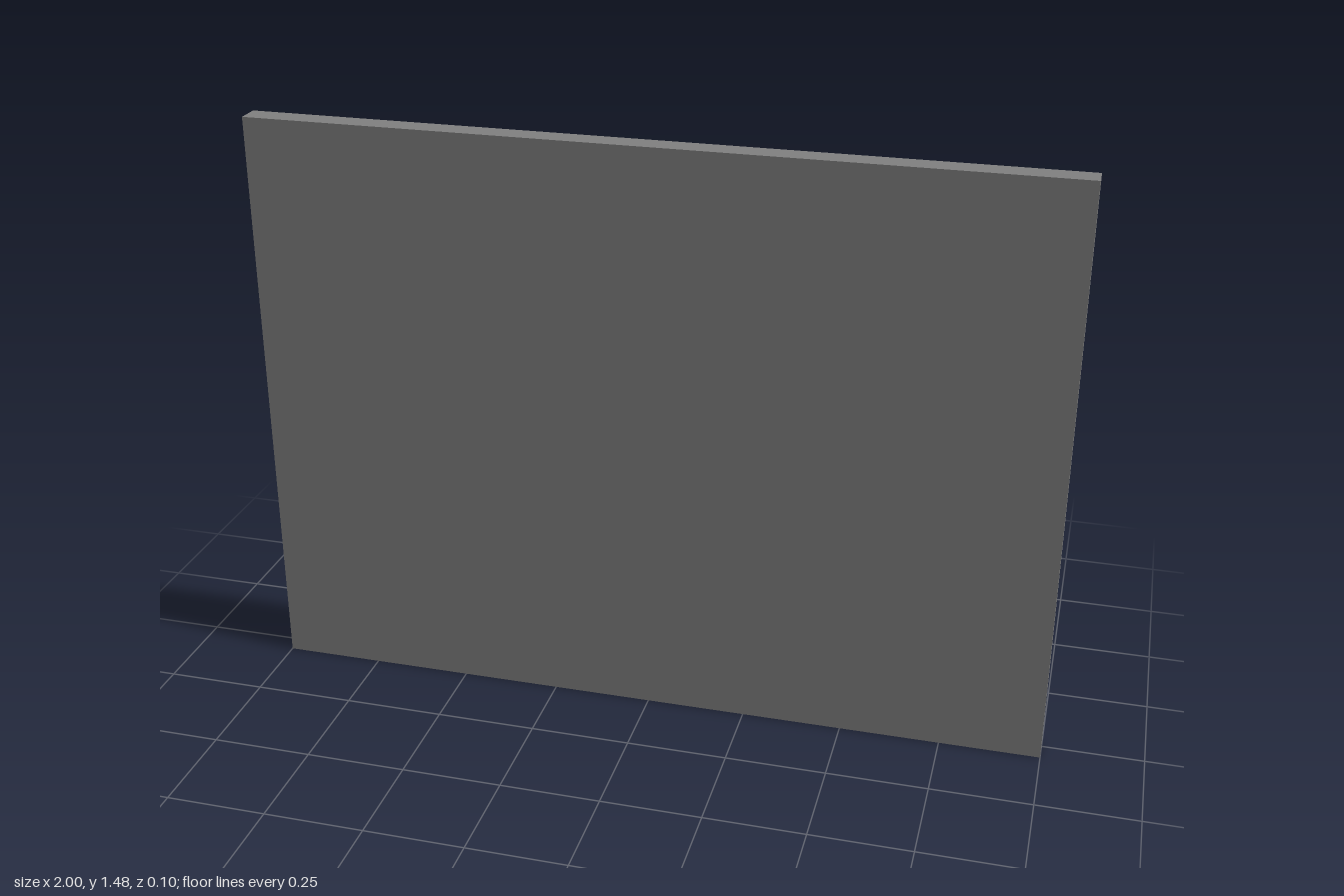
import * as THREE from 'three';

const wallGrey = new THREE.MeshStandardMaterial({ color: 0x808080 });
wallGrey.name = 'wall grey';
const woodBrown = new THREE.MeshStandardMaterial({ color: 0x885528 });
woodBrown.name = 'wood brown';

const WALL_BACK = -0.01;
const DOOR = { x: -0.4525, width: 0.535, height: 1.25, trim: 0.028 };

export function createModel() {
  const model = new THREE.Group();
  model.name = 'wallWithDoor';

  const add = (parent, name, geometry, material) => {
    const mesh = new THREE.Mesh(geometry, material);
    mesh.name = name;
    parent.add(mesh);
    return mesh;
  };

  // Solid wall slab
  add(model, 'wall', new THREE.BoxGeometry(2, 1.475, 0.06), wallGrey)
    .position.set(0, 1.475 / 2, 0.02);

  // Door assembly, built facing +z and turned to the back of the wall
  const door = new THREE.Group();
  door.name = 'door';
  door.position.set(DOOR.x, 0, WALL_BACK);
  door.rotation.y = Math.PI;
  model.add(door);

  // Frame: two jambs and a header as one open-bottomed outline
  const w = DOOR.width / 2, h = DOOR.height, t = DOOR.trim;
  const outline = new THREE.Shape([
    [-w, 0], [-w + t, 0], [-w + t, h - t], [w - t, h - t],
    [w - t, 0], [w, 0], [w, h], [-w, h],
  ].map(([x, y]) => new THREE.Vector2(x, y)));
  add(door, 'doorFrame', new THREE.ExtrudeGeometry(outline, { depth: 0.009, bevelEnabled: false }), woodBrown);

  // Door leaf, set back inside the frame
  add(door, 'doorLeaf', new THREE.BoxGeometry(2 * (w - t), h - t, 0.002), woodBrown)
    .position.set(0, (h - t) / 2, 0.001);

  // Knob: thin stem widening to a faceted grip with a flat end
  const profile = [[0, 0], [0.006, 0], [0.006, 0.014], [0.011, 0.019], [0.015, 0.024], [0.015, 0.037], [0.013, 0.04], [0, 0.04]]
    .map(([r, y]) => new THREE.Vector2(r, y));
  const knobGeometry = new THREE.LatheGeometry(profile, 12).toNonIndexed();
  knobGeometry.computeVertexNormals();
  const knob = add(door, 'doorKnob', knobGeometry, wallGrey);
  knob.rotation.x = Math.PI / 2;
  knob.position.set(-0.175, 0.555, 0);

  return model;
}
